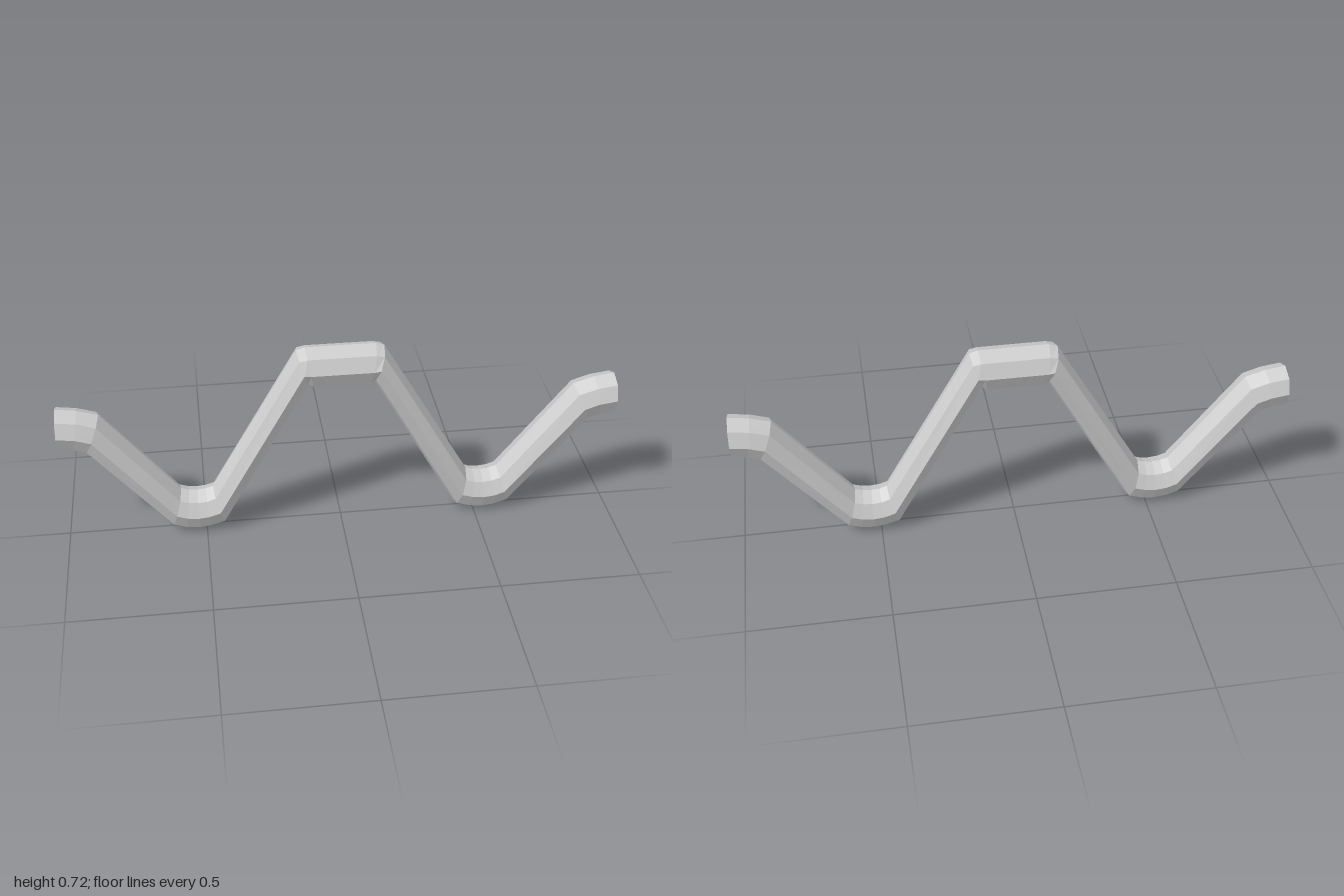
import * as THREE from 'three';

const SIDES = 8;
const HALF_DEPTH = 0.077;

// Bend sections for the left half: [topX, topY, bottomX, bottomY]
const HALF = [
  [0.125, 0.719, 0.097, 0.568],
  [0.155, 0.709, 0.113, 0.584],
  [0.470, 0.165, 0.427, 0.022],
  [0.497, 0.156, 0.480, 0.006],
  [0.527, 0.153, 0.527, 0.000],
  [0.557, 0.156, 0.578, 0.006],
  [0.585, 0.165, 0.626, 0.022],
  [0.852, 0.501, 0.910, 0.362],
  [0.925, 0.524, 0.945, 0.374],
  [1.000, 0.534, 1.000, 0.382],
];

// Skins octagonal cross-sections into an open-ended tube
function loftTube(sections) {
  const position = [];
  const index = [];
  sections.forEach(([tx, ty, bx, by], i) => {
    for (let j = 0; j < SIDES; j++) {
      const a = (j / SIDES) * Math.PI * 2;
      const t = (1 + Math.cos(a)) / 2;
      position.push(bx + (tx - bx) * t, by + (ty - by) * t, HALF_DEPTH * Math.sin(a));
      if (i === 0) continue;
      const k = (j + 1) % SIDES;
      const p = (i - 1) * SIDES;
      const q = i * SIDES;
      index.push(p + j, p + k, q + j, p + k, q + k, q + j);
    }
  });
  const geometry = new THREE.BufferGeometry();
  geometry.setAttribute('position', new THREE.Float32BufferAttribute(position, 3));
  geometry.setIndex(index);
  const flat = geometry.toNonIndexed();
  flat.computeVertexNormals();
  return flat;
}

export function createModel() {
  const group = new THREE.Group();
  group.name = 'zigzagPipe';

  // Mirror the half profile to run from right end to left end
  const mirrored = HALF.map(([tx, ty, bx, by]) => [-tx, ty, -bx, by]).reverse();
  const material = new THREE.MeshStandardMaterial({
    color: 0xcccccc,
    flatShading: true,
    side: THREE.DoubleSide,
  });
  const pipe = new THREE.Mesh(loftTube([...mirrored, ...HALF]), material);
  pipe.name = 'bentPipe';
  group.add(pipe);
  return group;
}
